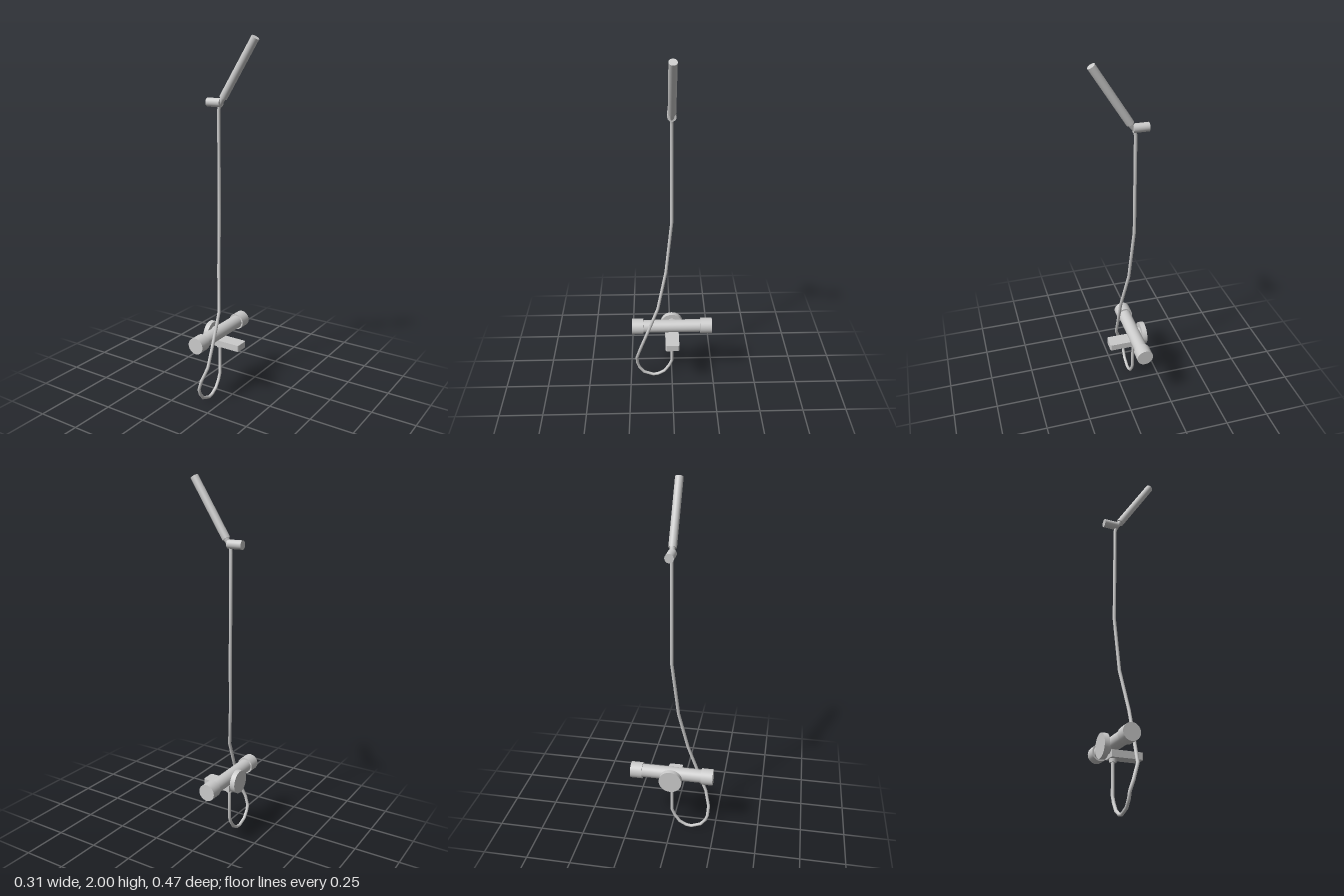
import * as THREE from 'three';

const material = new THREE.MeshStandardMaterial({ color: 0xcccccc });
const V = (x, y, z = 0) => new THREE.Vector3(x, y, z);

// Curve of straight segments, sampled exactly at its corners
class Polyline extends THREE.Curve {
  constructor(points) { super(); this.points = points; }
  getPointAt(t) {
    return this.points[Math.round(t * (this.points.length - 1))].clone();
  }
  getPoint(t) { return this.getPointAt(t); }
  getTangentAt(t) {
    const p = this.points, i = Math.round(t * (p.length - 1)), dir = V(0, 0);
    if (i > 0) dir.add(p[i].clone().sub(p[i - 1]).normalize());
    if (i < p.length - 1) dir.add(p[i + 1].clone().sub(p[i]).normalize());
    return dir.normalize();
  }
}

export function createModel() {
  const group = new THREE.Group();
  const add = (name, geometry) => {
    const mesh = new THREE.Mesh(geometry, material);
    mesh.name = name;
    group.add(mesh);
    return mesh;
  };
  // Cylinder or cone between two points
  const rod = (name, a, b, r0, r1 = r0) => {
    const axis = b.clone().sub(a);
    const mesh = add(name, new THREE.CylinderGeometry(r1, r0, axis.length(), 40));
    mesh.position.copy(a).add(b).multiplyScalar(0.5);
    mesh.quaternion.setFromUnitVectors(V(0, 1), axis.normalize());
    return mesh;
  };

  const X = -0.085; // hose and mixer axis

  // Mixer bar with a control knob at each end
  rod('mixerBar', V(X, 0.372, -0.18), V(X, 0.372, 0.18), 0.0375);
  for (const s of [-1, 1]) {
    rod(s > 0 ? 'frontKnob' : 'backKnob', V(X, 0.372, s * 0.169), V(X, 0.372, s * 0.236), 0.046);
  }

  // Round wall plate and its stub
  rod('wallPlate', V(-0.154, 0.357), V(-0.126, 0.357), 0.065);
  rod('wallStub', V(-0.128, 0.357), V(X, 0.357), 0.038);

  // Flat spout with rounded corners
  const [x0, x1, w, c] = [-0.107, 0.063, 0.04, 0.009];
  const outline = new THREE.Shape();
  outline.moveTo(x0, -w);
  outline.lineTo(x1 - c, -w);
  outline.absarc(x1 - c, -w + c, c, -Math.PI / 2, 0, false);
  outline.absarc(x1 - c, w - c, c, 0, Math.PI / 2, false);
  outline.lineTo(x0, w);
  outline.closePath();
  const spout = add('spout', new THREE.ExtrudeGeometry(outline, { depth: 0.037, bevelEnabled: false, curveSegments: 6 }));
  spout.rotation.x = -Math.PI / 2;
  spout.position.y = 0.298;

  // Hose outlet under the mixer
  rod('hoseOutlet', V(X, 0.279), V(X, 0.3), 0.018);

  // Hose: hangs in a loop, then rises to the hand shower
  const path = [
    V(X, 0.285), V(X, 0.118), V(X, 0.08, 0.016), V(X, 0.038, 0.045), V(X, 0.015, 0.085),
    V(X, 0.011, 0.115), V(X, 0.032, 0.17), V(X, 0.068, 0.198), V(X, 0.1, 0.209),
    V(-0.067, 0.155, 0.212), V(-0.036, 0.24, 0.19), V(-0.034, 0.385, 0.135),
    V(-0.034, 0.53, 0.082), V(-0.067, 0.755, 0.034), V(X, 1.065, 0),
    V(X, 1.62), V(-0.08, 1.65), V(-0.066, 1.675),
  ];
  add('hose', new THREE.TubeGeometry(new Polyline(path), path.length - 1, 0.009, 12, false));

  // Wall holder and hand shower
  rod('showerHolder', V(-0.154, 1.66), V(-0.07, 1.66), 0.0235);
  rod('showerNeck', V(-0.08, 1.647), V(-0.056, 1.688), 0.01, 0.016);
  rod('showerHandle', V(-0.057, 1.686), V(0.135, 1.988), 0.0215);

  return group;
}
